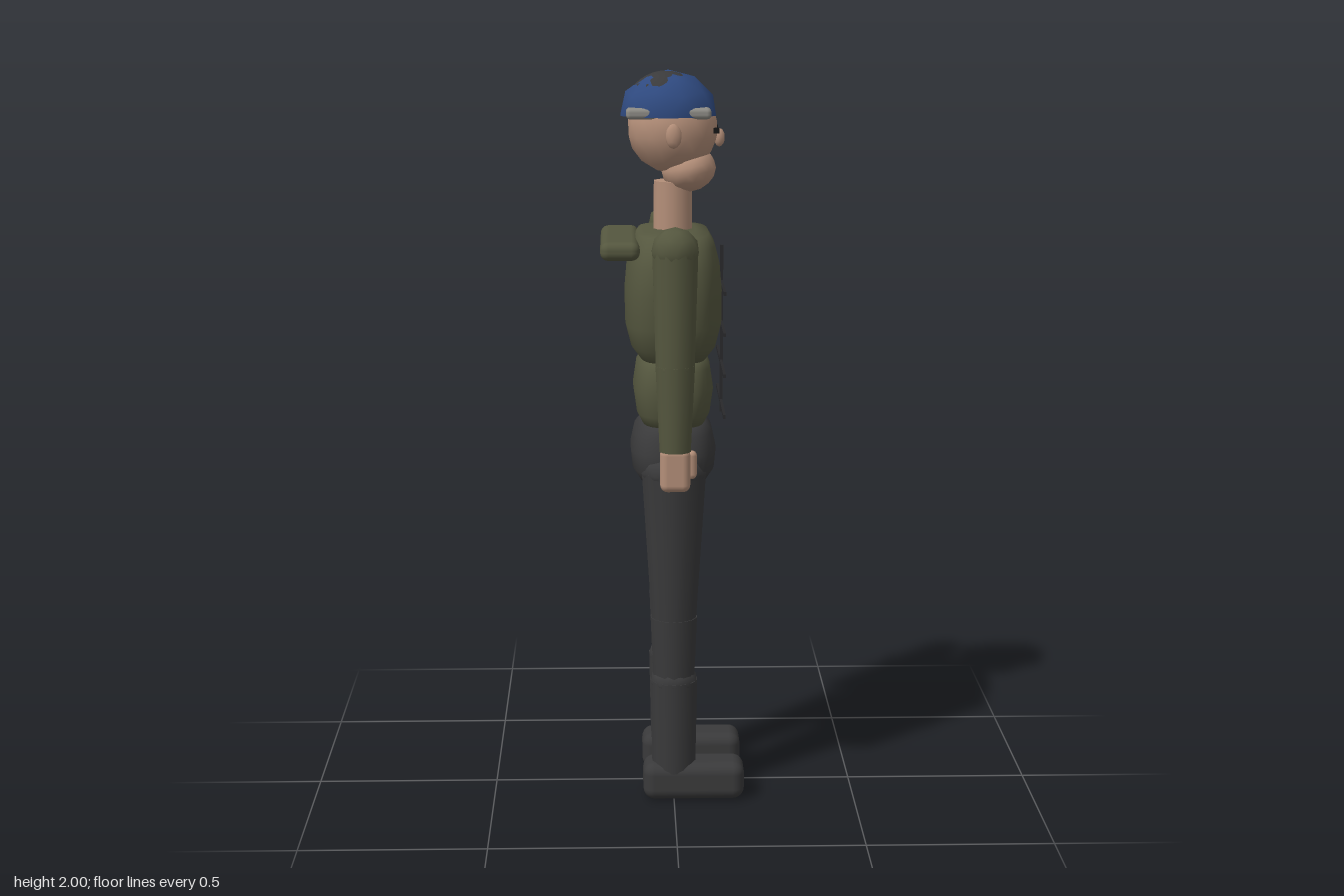
import * as THREE from 'three';
import { RoundedBoxGeometry } from 'three/addons/geometries/RoundedBoxGeometry.js';

const mat = (name, color) => {
  const m = new THREE.MeshStandardMaterial({ color });
  m.name = name;
  return m;
};

export function createModel() {
  const olive = mat('olive cloth', 0x55573f);
  const dark = mat('dark cloth', 0x3a3a3b);
  const skin = mat('skin', 0xb48f79);
  const blue = mat('blue cap', 0x2f4a80);
  const grey = mat('grey brim', 0x8c8a84);
  const strap = mat('strap black', 0x29292b);
  const black = mat('eye black', 0x151515);
  const model = new THREE.Group();
  model.name = 'figure';

  const add = (name, geo, material, x = 0, y = 0, z = 0, parent = model) => {
    const mesh = new THREE.Mesh(geo, material);
    mesh.name = name;
    mesh.position.set(x, y, z);
    parent.add(mesh);
    return mesh;
  };

  // faceted ball with one corner pointing straight up
  const ball = (rx, ry = rx, rz = rx, detail = 1) =>
    new THREE.IcosahedronGeometry(1, detail)
      .rotateZ(-Math.atan(2 / (1 + Math.sqrt(5)))).scale(rx, ry, rz);

  // upper half of a ball
  const dome = (rx, ry, rz) => {
    const src = ball(rx, ry, rz);
    const p = src.attributes.position, n = src.attributes.normal;
    const pos = [], nor = [];
    for (let i = 0; i < p.count; i += 3) {
      if (Math.min(p.getY(i), p.getY(i + 1), p.getY(i + 2)) < -0.001) continue;
      for (let k = i; k < i + 3; k++) {
        pos.push(p.getX(k), p.getY(k), p.getZ(k));
        nor.push(n.getX(k), n.getY(k), n.getZ(k));
      }
    }
    const g = new THREE.BufferGeometry();
    g.setAttribute('position', new THREE.Float32BufferAttribute(pos, 3));
    g.setAttribute('normal', new THREE.Float32BufferAttribute(nor, 3));
    return g;
  };

  // closed body from rounded-square rings [y, half depth x, half width z], bottom to top
  const loft = (rings, power, sides = 32) => {
    const pos = [], idx = [];
    const curve = (v) => Math.sign(v) * Math.abs(v) ** (2 / power);
    for (const [y, rx, rz] of rings) {
      for (let i = 0; i < sides; i++) {
        const a = (i / sides) * Math.PI * 2;
        pos.push(rx * curve(Math.cos(a)), y, rz * curve(Math.sin(a)));
      }
    }
    const last = rings.length - 1, low = rings.length * sides;
    pos.push(0, rings[0][0], 0, 0, rings[last][0], 0);
    for (let i = 0; i < sides; i++) {
      const j = (i + 1) % sides;
      for (let r = 0; r < last; r++) {
        const a = r * sides + i, b = r * sides + j;
        idx.push(a, a + sides, b, b, a + sides, b + sides);
      }
      idx.push(low, i, j, low + 1, last * sides + j, last * sides + i);
    }
    const g = new THREE.BufferGeometry();
    g.setAttribute('position', new THREE.Float32BufferAttribute(pos, 3));
    g.setIndex(idx);
    g.computeVertexNormals();
    return g;
  };

  // tapered limb between two heights
  const limb = (name, top, bottom, rTop, rBottom, material, z, parent) =>
    add(name, new THREE.CylinderGeometry(rTop, rBottom, top - bottom, 14),
      material, 0, (top + bottom) / 2, z, parent);

  // torso
  add('chest', loft([
    [1.225, 0.06, 0.13], [1.235, 0.09, 0.175], [1.27, 0.115, 0.205], [1.33, 0.13, 0.222],
    [1.42, 0.131, 0.228], [1.49, 0.125, 0.225], [1.54, 0.112, 0.205], [1.57, 0.095, 0.175],
    [1.577, 0.06, 0.13]], 3.4), olive);
  add('abdomen', loft([
    [1.045, 0.06, 0.12], [1.055, 0.085, 0.15], [1.085, 0.1, 0.17], [1.15, 0.109, 0.176],
    [1.21, 0.1, 0.17], [1.235, 0.085, 0.15], [1.245, 0.05, 0.1]], 3.4), olive);
  add('hips', loft([
    [0.885, 0.06, 0.12], [0.895, 0.09, 0.155], [0.93, 0.112, 0.178], [0.98, 0.117, 0.175],
    [1.03, 0.106, 0.162], [1.055, 0.085, 0.145], [1.062, 0.05, 0.1]], 3.2), dark);

  // roll carried behind the shoulders
  add('backRoll', new RoundedBoxGeometry(0.105, 0.05, 0.39, 3, 0.022), olive, -0.143, 1.537, 0);

  // chest harness
  const harness = new THREE.Group();
  harness.name = 'harness';
  model.add(harness);
  add('uprightStrap', new THREE.BoxGeometry(0.008, 0.46, 0.01), strap, 0.133, 1.3, 0, harness);
  for (const y of [1.1, 1.21, 1.32, 1.43])
    add('crossStrap', new THREE.BoxGeometry(0.007, 0.01, 0.436), strap, 0.132, y, 0, harness);

  // head
  const head = new THREE.Group();
  head.name = 'head';
  model.add(head);
  add('neck', new THREE.CylinderGeometry(0.052, 0.054, 0.17, 14), skin, 0, 1.62, 0, head);
  add('skull', ball(0.122, 0.12, 0.115, 2), skin, 0, 1.845, 0, head);
  add('jaw', ball(0.074, 0.06, 0.086, 2), skin, 0.043, 1.735, 0, head).rotation.z = 0.2;
  add('nose', ball(0.015, 0.025, 0.013), skin, 0.125, 1.82, 0, head);
  for (const s of [1, -1]) {
    add('ear', ball(0.022, 0.034, 0.014), skin, 0, 1.833, s * 0.109, head);
    add('eye', new THREE.BoxGeometry(0.016, 0.014, 0.026), black, 0.115, 1.842, s * 0.043, head);
  }

  // cap with a dark lining showing through its flat facets
  add('brim', new RoundedBoxGeometry(0.226, 0.03, 0.202, 2, 0.012), grey, -0.0125, 1.89, 0, head);
  add('cap', dome(0.134, 0.12, 0.118), blue, -0.0125, 1.88, 0, head);
  add('capLining', new THREE.SphereGeometry(1, 28, 10, 0, Math.PI * 2, 0, Math.PI / 2)
    .scale(0.116, 0.1175, 0.106), dark, -0.018, 1.88, 0, head);

  for (const s of [1, -1]) {
    const side = s > 0 ? 'front' : 'rear';

    // arm
    const arm = new THREE.Group();
    arm.name = side + 'SideArm';
    arm.position.z = s * 0.272;
    model.add(arm);
    add('shoulder', ball(0.064), olive, 0, 1.55, 0, arm);
    limb('upperArm', 1.55, 1.24, 0.061, 0.052, olive, 0, arm);
    add('elbow', ball(0.053), olive, 0, 1.245, 0, arm);
    limb('forearm', 1.25, 1.02, 0.053, 0.042, olive, 0, arm);
    add('hand', new RoundedBoxGeometry(0.08, 0.12, 0.05, 3, 0.02), skin, 0, 0.97, 0, arm);
    add('thumb', new THREE.CapsuleGeometry(0.014, 0.05, 4, 10), skin, 0.044, 0.98, -s * 0.012, arm);

    // leg
    const leg = new THREE.Group();
    leg.name = side + 'SideLeg';
    leg.position.z = s * 0.12;
    model.add(leg);
    add('hipJoint', ball(0.092, 0.06, 0.092), dark, 0, 0.93, 0, leg);
    limb('thigh', 0.93, 0.51, 0.089, 0.062, dark, 0, leg);
    limb('knee', 0.52, 0.35, 0.065, 0.058, dark, 0, leg);
    add('kneeJoint', ball(0.067, 0.05, 0.067), dark, 0, 0.335, 0, leg);
    limb('shin', 0.34, 0.08, 0.066, 0.061, dark, 0, leg);
    add('boot', new RoundedBoxGeometry(0.28, 0.106, 0.12, 3, 0.032), dark, 0.055, 0.053, 0, leg);
  }
  return model;
}
